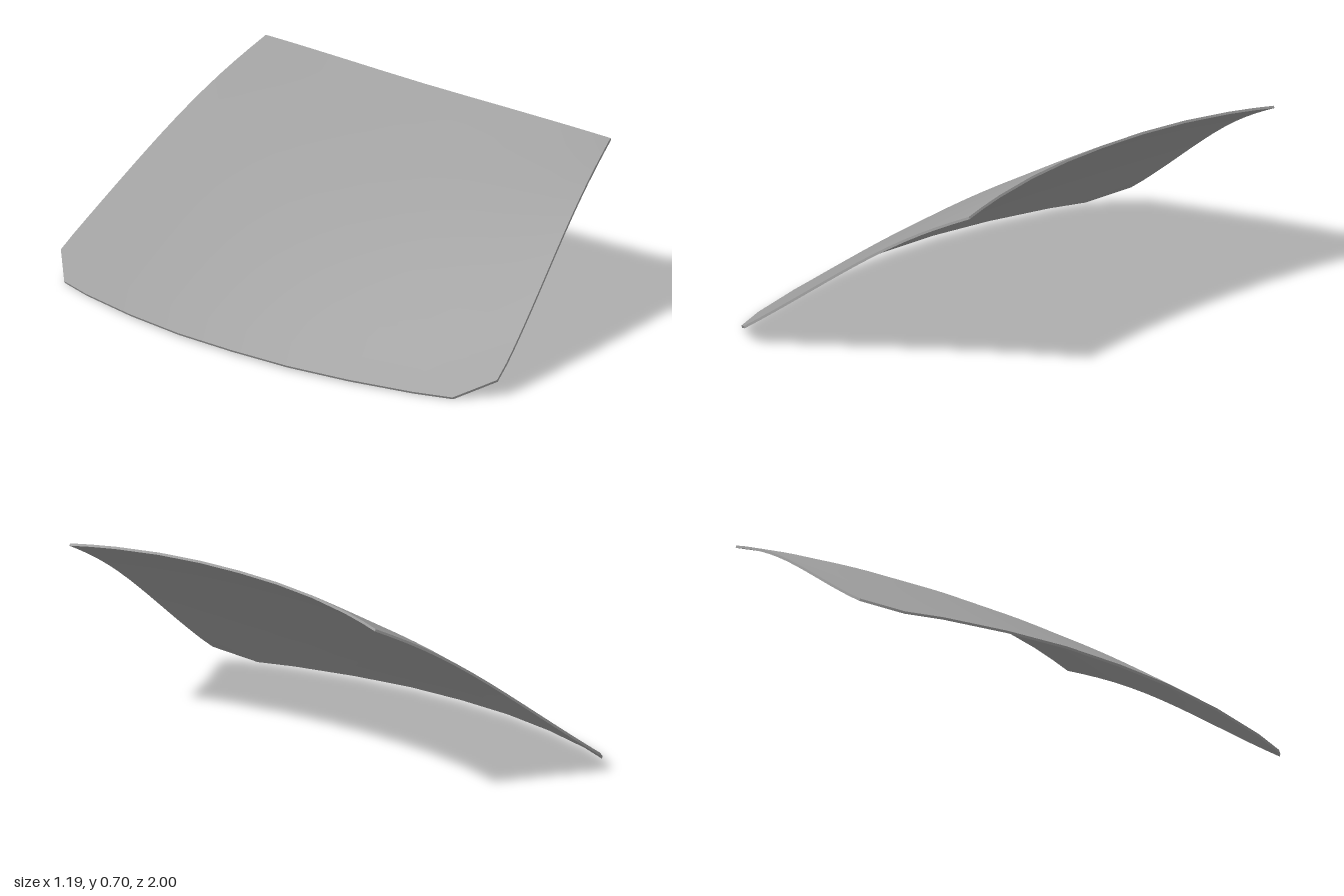
import * as THREE from 'three';

// half of the lower edge, from the middle outwards: [x, y, z]
const LOWER = [[-0.596, 0.016, 0], [-0.587, 0.015, 0.25], [-0.55, 0.013, 0.5], [-0.49, 0.01, 0.75], [-0.44, 0.008, 0.89], [-0.322, 0.066, 1]];
const ROWS = 14;
const COLOR = 0x9e9e9e;
const THICKNESS = new THREE.Vector3(0.004, -0.008, 0);

// point on the outer face; column -5..5 across, v 0..1 from lower to upper edge
function pointAt(column, v) {
  const side = Math.sign(column);
  const [bx, by, s] = LOWER[Math.abs(column)];
  const s2 = s * s;
  const low = new THREE.Vector3(bx, by, s);
  const high = new THREE.Vector3(0.503 + 0.087 * s2, 0.7 - 0.04 * Math.pow(s, 2.4), 0.79 * s);
  const p = low.lerp(high, v);
  // the sides swell near the top in height and near the bottom in width
  p.y += (0.031 + 0.004 * s2) * Math.sin(Math.PI * Math.pow(v, 1 + 0.5 * s2));
  p.z += 0.011 * s * Math.sin(Math.PI * Math.pow(v, 0.6));
  p.z *= side;
  return p;
}

// smooth sheet through a grid of points (rows of equal length)
function sheet(name, rows, material, flip = false) {
  const n = rows[0].length;
  const index = [];
  for (let j = 0; j < rows.length - 1; j++) {
    for (let i = 0; i < n - 1; i++) {
      const a = j * n + i, b = a + 1, c = a + n, d = c + 1;
      if (flip) index.push(a, c, b, b, c, d);
      else index.push(a, b, c, b, d, c);
    }
  }
  const geometry = new THREE.BufferGeometry().setFromPoints(rows.flat());
  geometry.setIndex(index);
  geometry.computeVertexNormals();
  const mesh = new THREE.Mesh(geometry, material);
  mesh.name = name;
  return mesh;
}

export function createModel() {
  const group = new THREE.Group();
  group.name = 'windshield';
  const material = new THREE.MeshStandardMaterial({ color: COLOR });
  const rimMaterial = new THREE.MeshStandardMaterial({ color: COLOR, side: THREE.DoubleSide });

  const outer = [];
  for (let j = 0; j <= ROWS; j++) {
    const row = [];
    for (let c = -5; c <= 5; c++) row.push(pointAt(c, j / ROWS));
    outer.push(row);
  }
  const inward = (row) => row.map((p) => p.clone().add(THICKNESS));

  // outer and inner glass faces
  group.add(sheet('outerGlass', outer, material));
  group.add(sheet('innerGlass', outer.map(inward), material, true));

  // thin rim closing the four edges
  const edges = {
    lowerEdge: outer[0],
    upperEdge: outer[ROWS],
    leftEdge: outer.map((row) => row[10]),
    rightEdge: outer.map((row) => row[0]),
  };
  for (const [name, edge] of Object.entries(edges)) {
    const flip = name === 'lowerEdge' || name === 'leftEdge';
    group.add(sheet(name, [edge, inward(edge)], rimMaterial, flip));
  }
  return group;
}
